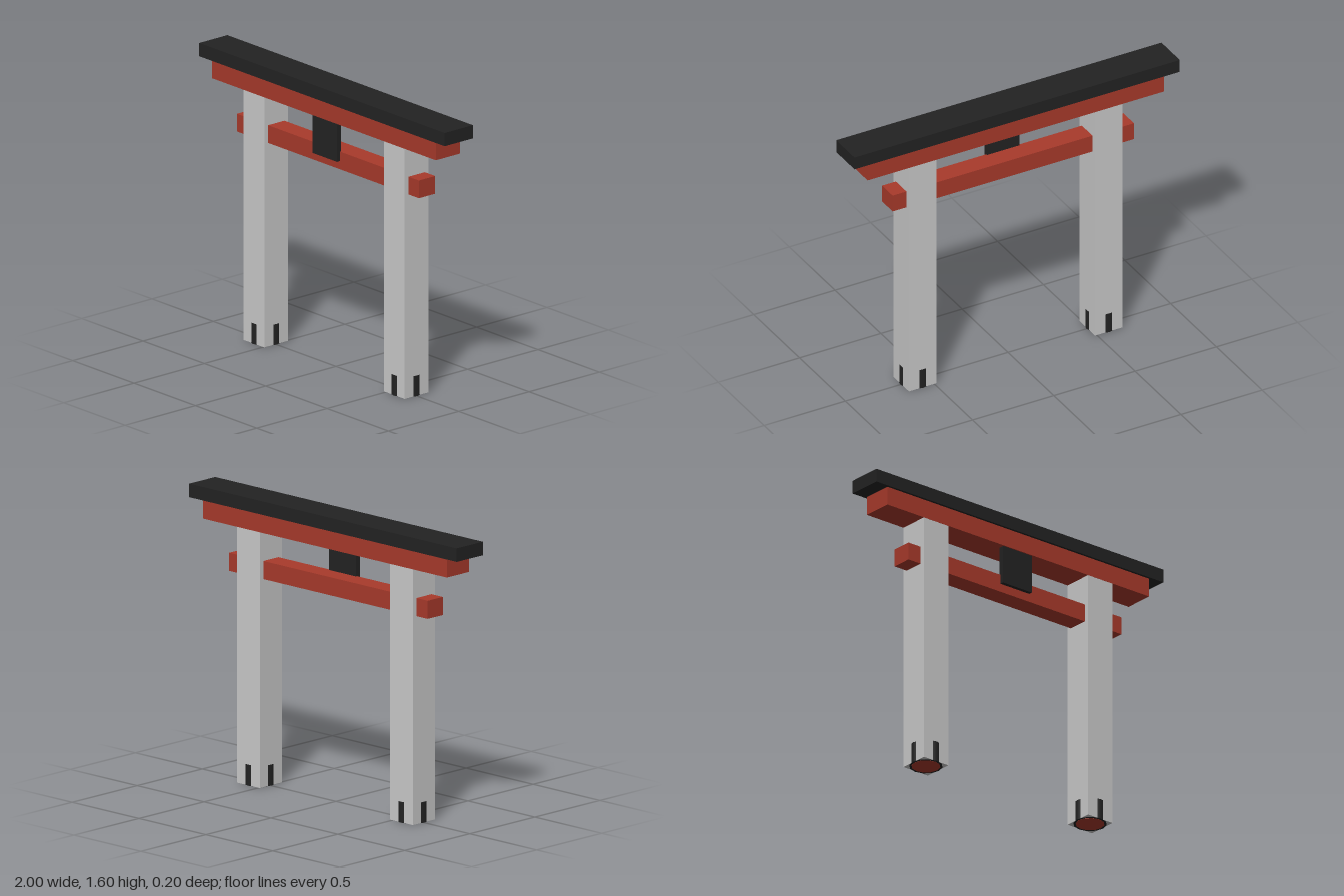
import * as THREE from 'three';

export function createModel() {
  const group = new THREE.Group();
  const material = (name, color) => {
    const m = new THREE.MeshStandardMaterial({ color });
    m.name = name;
    return m;
  };
  const red = material('red paint', 0xa93a2b);
  const black = material('black paint', 0x232323);
  const grey = material('pale stone', 0xcbcbcb);

  const add = (name, geometry, mat, x, y, z) => {
    const mesh = new THREE.Mesh(geometry, mat);
    mesh.name = name;
    mesh.position.set(x, y, z);
    group.add(mesh);
  };
  // Box given by its full width and depth, and bottom and top heights
  const box = (name, mat, w, d, y0, y1, x = 0, z = 0) =>
    add(name, new THREE.BoxGeometry(w, y1 - y0, d), mat, x, (y0 + y1) / 2, z);
  // Twelve-sided upright post
  const post = (name, mat, r, y0, y1, x) =>
    add(name, new THREE.CylinderGeometry(r, r, y1 - y0, 12).toNonIndexed(), mat, x, (y0 + y1) / 2, 0);

  // Roof cap, lintel and tie beam
  box('roofCap', black, 2, 0.2, 1.522, 1.597);
  box('lintel', red, 1.824, 0.172, 1.417, 1.522);
  box('tieBeam', red, 1.484, 0.116, 1.153, 1.253);

  // Plain centre panel, hung in front of the tie beam
  box('centrePanel', black, 0.2, 0.03, 1.2, 1.417, 0, 0.065);

  // Square pillars around a round core, with a base ring that pokes through each face
  for (const [side, x] of [['left', 0.572], ['right', -0.572]]) {
    box(side + 'Pillar', grey, 0.17, 0.17, 0.002, 1.417, x);
    post(side + 'BaseRing', black, 0.0905, 0.001, 0.116, x);
    post(side + 'PillarCore', red, 0.078, 0, 1.41, x);
  }
  return group;
}
